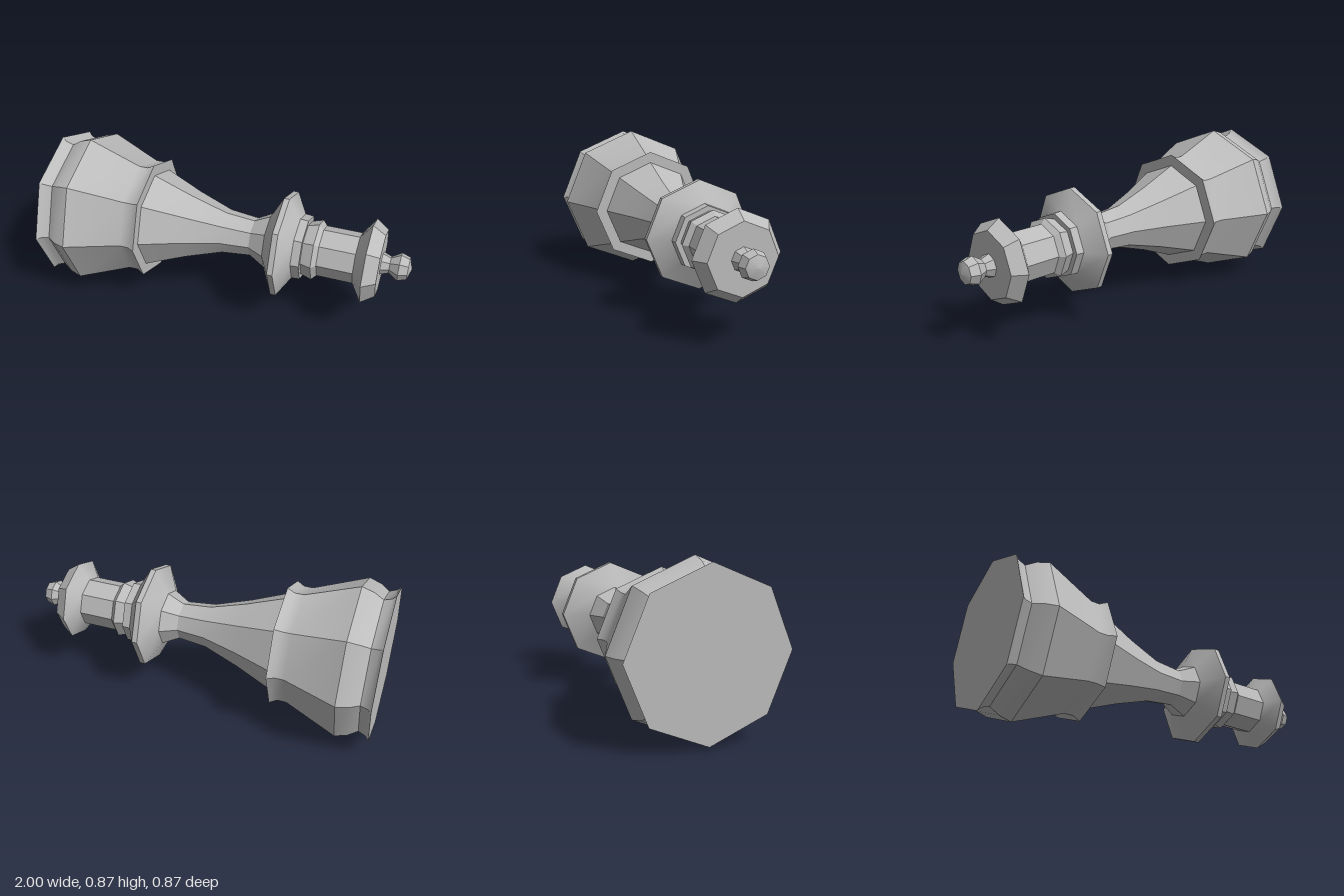
import * as THREE from 'three';
import { toCreasedNormals } from 'three/addons/utils/BufferGeometryUtils.js';

const R = 0.433; // widest radius, also the height of the axis

// Each part is an eight-sided turned section: [position along x, radius]
const parts = {
  foot: [[-1, 0], [-1, 0.417], [-0.98, 0.395], [-0.94, 0.38]],
  base: [[-0.94, 0.38], [-0.89, 0.413], [-0.825, R], [-0.54, 0.32], [-0.49, 0.32], [-0.45, 0.342], [-0.45, 0.278]],
  stem: [[-0.45, 0.278], [-0.23, 0.19], [-0.03, 0.123], [0.13, 0.107], [0.22, 0.155], [0.29, 0.292]],
  collar: [[0.29, 0.292], [0.32, 0.292], [0.385, 0.18]],
  collarRing: [[0.385, 0.18], [0.43, 0.177], [0.43, 0.148]],
  neckRing: [[0.43, 0.148], [0.49, 0.166], [0.515, 0.139]],
  neck: [[0.515, 0.139], [0.71, 0.139]],
  crown: [[0.71, 0.139], [0.77, 0.23], [0.84, 0.182], [0.84, 0.06]],
  finial: [[0.84, 0.062], [0.885, 0.045], [0.935, 0.076], [0.982, 0.06], [1, 0]],
};

export function createModel() {
  const group = new THREE.Group();
  group.name = 'chessPiece';
  const grey = new THREE.MeshStandardMaterial({ color: 0xbcbcbc });
  grey.name = 'grey';

  for (const [name, profile] of Object.entries(parts)) {
    const points = profile.map(([x, r]) => new THREE.Vector2(r, x));
    const lathe = new THREE.LatheGeometry(points, 8);
    // Lay the piece on its side; sharp corners around, soft curves along
    lathe.rotateZ(-Math.PI / 2);
    lathe.translate(0, R, 0);
    const mesh = new THREE.Mesh(toCreasedNormals(lathe, Math.PI / 6), grey);
    mesh.name = name;
    group.add(mesh);
  }
  return group;
}
